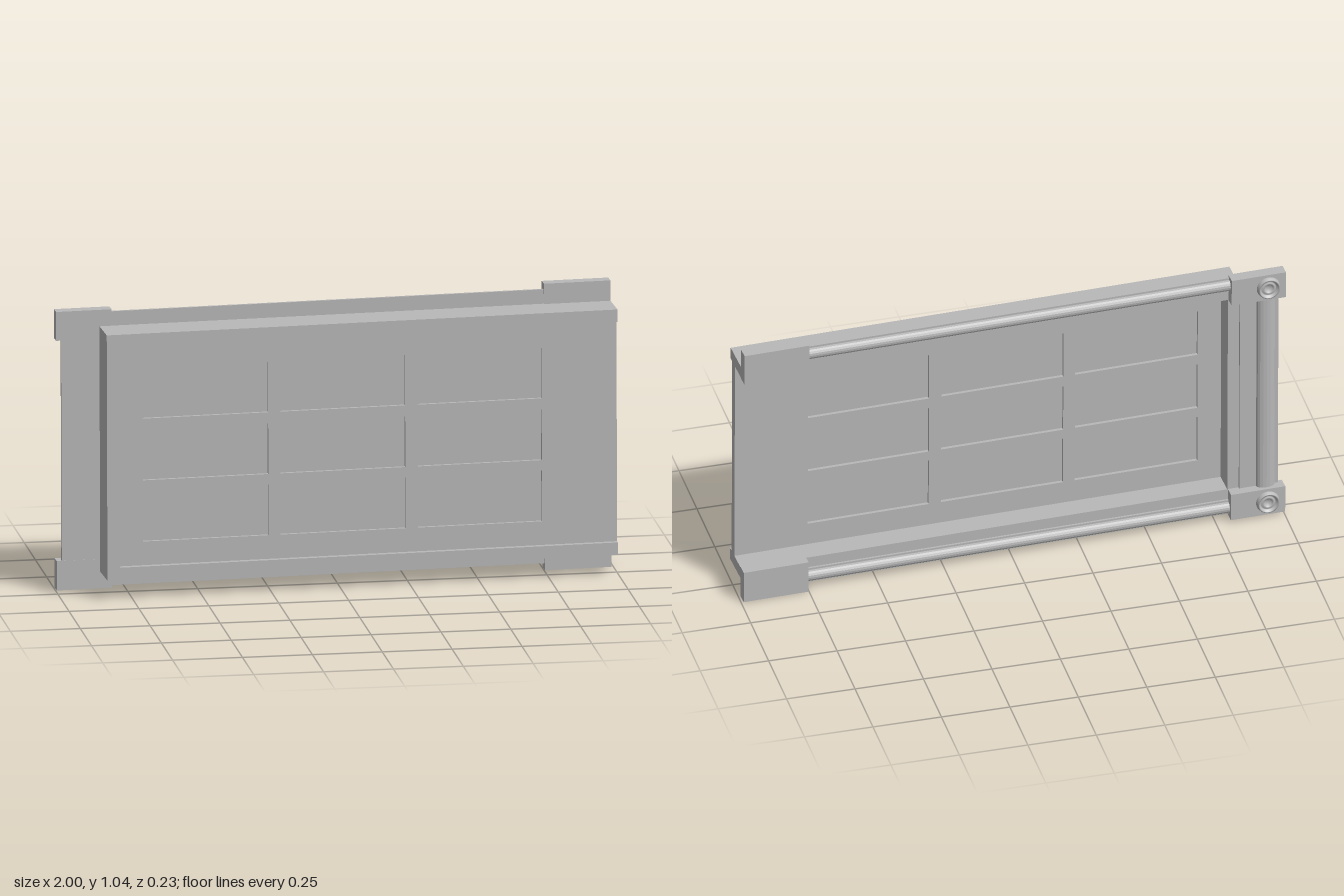
import * as THREE from 'three';

export function createModel() {
  const root = new THREE.Group();
  root.name = 'framedPanel';
  const grey = new THREE.MeshStandardMaterial({ color: 0xb8b8b8 });
  grey.name = 'grey';

  // whole assembly leans slightly around the vertical
  const body = new THREE.Group();
  body.name = 'panelAssembly';
  body.rotation.set(0, 0.033, 0.003);
  root.add(body);

  const add = (name, geometry) => {
    const mesh = new THREE.Mesh(geometry, grey);
    mesh.name = name;
    body.add(mesh);
    return mesh;
  };
  const box = (name, x0, x1, y0, y1, z0, z1) => {
    const mesh = add(name, new THREE.BoxGeometry(x1 - x0, y1 - y0, z1 - z0));
    mesh.position.set((x0 + x1) / 2, (y0 + y1) / 2, (z0 + z1) / 2);
    return mesh;
  };
  const rectangle = (Type, x0, x1, y0, y1) => new Type().moveTo(x0, y0).lineTo(x1, y0).lineTo(x1, y1).lineTo(x0, y1).closePath();

  // raised frame, open at its left end
  box('frameTop', -0.844, 0.994, 0.923, 0.968, -0.05, 0.087);
  box('frameBottom', -0.844, 0.994, 0.074, 0.119, -0.05, 0.087);
  box('frameSide', -0.844, -0.798, 0.119, 0.923, -0.05, 0.087);

  // panel with nine recessed panes
  const columns = [[-0.712, -0.26], [-0.217, 0.233], [0.278, 0.724]];
  const rows = [[0.205, 0.39], [0.428, 0.612], [0.653, 0.837]];
  const panelShape = rectangle(THREE.Shape, -0.798, 0.994, 0.119, 0.923);
  for (const [x0, x1] of columns) {
    for (const [y0, y1] of rows) {
      panelShape.holes.push(rectangle(THREE.Path, x0, x1, y0, y1));
      box('pane', x0, x1, y0, y1, 0.045, 0.055);
    }
  }
  add('panel', new THREE.ExtrudeGeometry(panelShape, { depth: 0.034, bevelEnabled: false })).position.z = 0.033;

  // rounded rail: half-round profile swelling towards the back
  const rail = (name, width, length) => {
    const h = width / 2;
    const shape = new THREE.Shape();
    shape.moveTo(-h, -0.048).lineTo(-h, -0.058).lineTo(-h * 0.75, -0.058);
    for (let i = 0; i <= 8; i++) {
      const a = Math.PI * i / 8;
      shape.lineTo(-h * 0.75 * Math.cos(a), -0.06 - 0.018 * Math.sin(a));
    }
    shape.lineTo(h * 0.75, -0.058).lineTo(h, -0.058).lineTo(h, -0.048).closePath();
    const geometry = new THREE.ExtrudeGeometry(shape, { depth: length, bevelEnabled: false });
    geometry.translate(0, 0, -length / 2);
    // profile axes become (across, back), extrusion runs up
    geometry.rotateX(-Math.PI / 2);
    geometry.scale(1, 1, 1);
    geometry.rotateY(Math.PI);
    return add(name, geometry);
  };
  const sideRail = rail('sideRail', 0.09, 0.82);
  sideRail.position.set(-0.935, 0.52, 0);
  for (const y of [0.992, 0.05]) {
    const r = rail('longRail', 0.056, 1.57);
    r.rotation.z = Math.PI / 2;
    r.position.set(-0.02, y, 0);
  }
  box('sideWeb', -0.982, -0.84, 0.11, 0.93, -0.058, -0.048);

  // corner blocks, with ringed fasteners on the back of one end
  for (const [y0, y1] of [[0.013, 0.12], [0.923, 1.028]]) {
    box('cornerBlock', -1, -0.8, y0, y1, -0.09, -0.047);
    const y = (y0 + y1) / 2;
    const points = [[0, -0.004], [0.012, -0.004], [0.016, 0.004], [0.022, 0.004], [0.025, 0.001], [0.03, 0.001], [0.034, 0.01], [0.039, 0.01], [0.043, -0.006]]
      .reverse().map(([r, d]) => new THREE.Vector2(r, d));
    const fastener = add('fastenerRing', new THREE.LatheGeometry(points, 32));
    fastener.rotation.x = -Math.PI / 2;
    fastener.position.set(-0.935, y, -0.0945);
  }
  for (const [y0, y1] of [[-0.002, 0.122], [0.92, 1.042]]) {
    box('endBlock', 0.755, 0.994, y0, y1, -0.085, -0.042);
  }
  return root;
}
